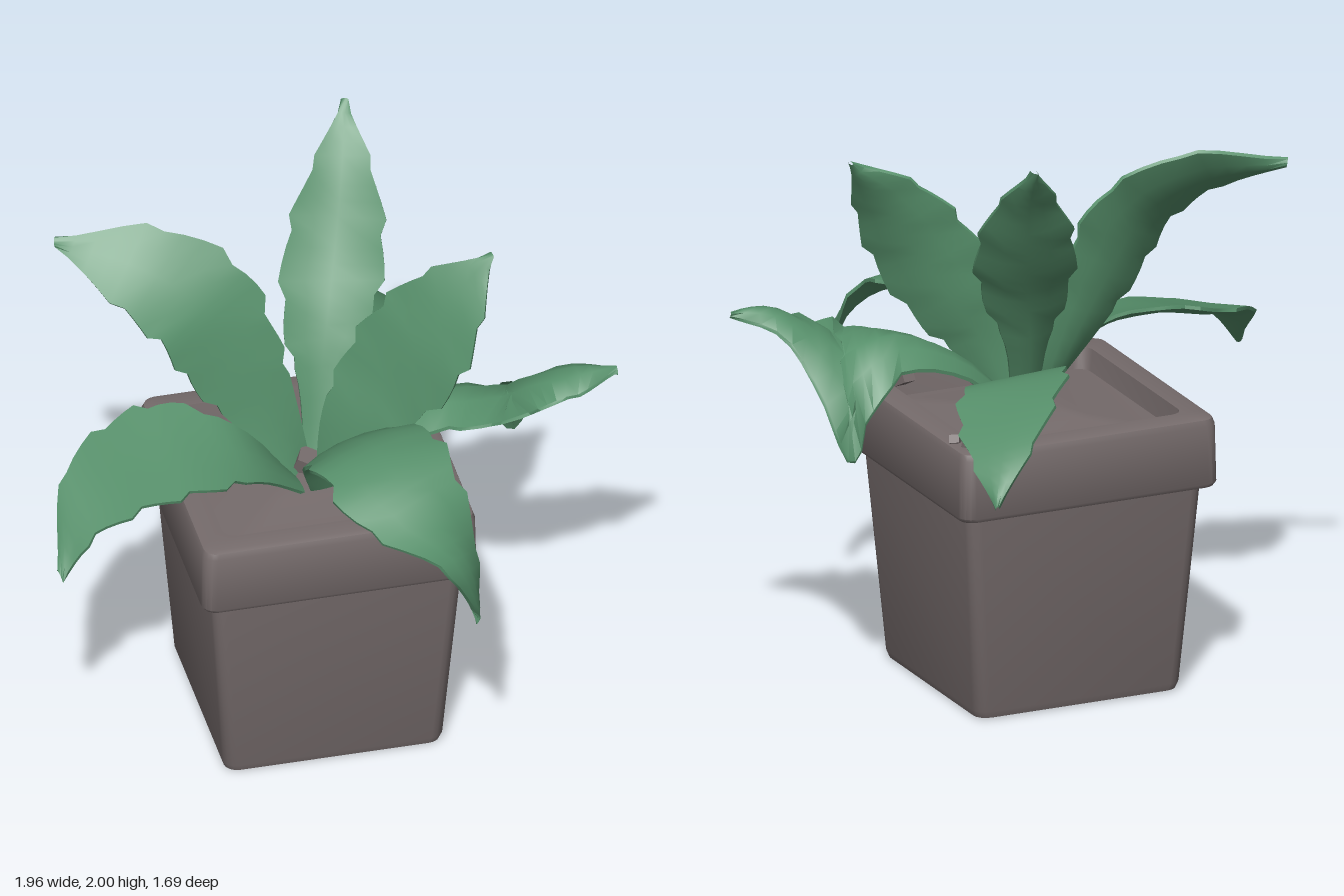
import * as THREE from 'three';
import { toCreasedNormals } from 'three/addons/utils/BufferGeometryUtils.js';

const leafGreen = new THREE.MeshStandardMaterial({ color: 0x568f6a });
leafGreen.name = 'leafGreen';
const clayGrey = new THREE.MeshStandardMaterial({ color: 0x756b6b });
clayGrey.name = 'clayGrey';

// Skin closed loops of points (each loop an array of Vector3) into a surface.
function loft(loops, crease) {
  const n = loops[0].length, pos = [], idx = [];
  loops.forEach(loop => loop.forEach(p => pos.push(p.x, p.y, p.z)));
  for (let i = 0; i < loops.length - 1; i++) {
    for (let j = 0; j < n; j++) {
      const a = i * n + j, b = i * n + (j + 1) % n;
      idx.push(a, b, a + n, b, b + n, a + n);
    }
  }
  const g = new THREE.BufferGeometry();
  g.setAttribute('position', new THREE.Float32BufferAttribute(pos, 3));
  g.setIndex(idx);
  return toCreasedNormals(g, crease);
}

// Horizontal square ring with rounded corners, running so that faces point outward.
function squareRing(half, y) {
  const r = Math.min(0.045, half), ring = [];
  for (let c = 0; c < 4; c++) {
    const mid = -(c * Math.PI / 2 + Math.PI / 4);
    const cx = Math.sign(Math.cos(mid)) * (half - r), cz = Math.sign(Math.sin(mid)) * (half - r);
    for (let k = 0; k <= 4; k++) {
      const a = mid + Math.PI / 4 - k * Math.PI / 8;
      ring.push(new THREE.Vector3(cx + r * Math.cos(a), y, cz + r * Math.sin(a)));
    }
  }
  return ring;
}

// Leaf between a left and a right edge curve, with toothed edges.
// bulge lifts (or, if negative, sinks) the midrib as a fraction of the leaf width.
function leafGeometry(left, right, bulge) {
  const curve = pts => new THREE.CatmullRomCurve3(pts.map(p => new THREE.Vector3(...p)));
  const L = curve(left), R = curve(right), steps = 24, loops = [];
  const middle = t => L.getPoint(t).lerp(R.getPoint(t), 0.5);
  for (let i = 0; i <= steps; i++) {
    const t = i / steps, c = middle(t);
    const half = R.getPoint(t).sub(L.getPoint(t)).multiplyScalar(0.5);
    const tangent = middle(Math.min(1, t + 0.02)).sub(middle(Math.max(0, t - 0.02)));
    const up = half.clone().cross(tangent).normalize();
    const tooth = t > 0.25 ? 1.05 - 0.05 * (i % 4) : 1;
    const width = half.length() * 2;
    const point = (u, side) => {
      const thick = 0.006 + 0.01 * (1 - u * u);
      const lift = bulge * width * (1 - u * u) + side * thick;
      return c.clone().addScaledVector(half, u * tooth).addScaledVector(up, lift);
    };
    const us = [-1, -0.5, 0, 0.5, 1];
    loops.push([...us.map(u => point(u, 1)), ...us.slice().reverse().map(u => point(u, -1))]);
  }
  return loft(loops, 0.8);
}

// Edge points from base to tip, left then right as seen from the base, then the bulge.
const leaves = {
  leftDroopingLeaf: [
    [[-.03, .9, .06], [-.25, 1.08, .18], [-.45, 1.14, .27], [-.65, 1.12, .28], [-.85, 1.05, .3], [-.97, .91, .33]],
    [[-.05, .9, -.03], [-.28, 1.18, -.02], [-.5, 1.24, -.13], [-.68, 1.2, -.13], [-.88, 1.13, .02], [-.98, .94, .3]],
    -0.03],
  leftTallLeaf: [
    [[-.06, .9, .03], [-.28, 1.18, -.03], [-.42, 1.35, -.04], [-.52, 1.52, -.06], [-.64, 1.64, -.14], [-.8, 1.77, -.38]],
    [[0, .9, -.05], [-.06, 1.25, -.08], [-.11, 1.48, -.12], [-.2, 1.7, -.19], [-.45, 1.84, -.3], [-.8, 1.8, -.39]],
    -0.08],
  backTallLeaf: [
    [[-.03, .9, -.04], [-.02, 1.2, -.15], [-.05, 1.4, -.25], [0, 1.63, -.4], [.12, 1.83, -.51], [.27, 2, -.63]],
    [[.05, .9, -.02], [.13, 1.2, -.14], [.25, 1.42, -.19], [.32, 1.62, -.29], [.32, 1.83, -.45], [.275, 1.99, -.63]],
    -0.14],
  backDroopingLeaf: [
    [[-.01, .9, -.05], [.04, 1.12, -.28], [.08, 1.23, -.5], [.2, 1.22, -.68], [.36, 1.1, -.81], [.51, .91, -.84]],
    [[.06, .9, -.02], [.22, 1.08, -.2], [.39, 1.15, -.34], [.49, 1.1, -.5], [.53, 1.02, -.68], [.52, .9, -.84]],
    -0.03],
  rightSpreadingLeaf: [
    [[.02, .9, -.03], [.25, 1.09, -.06], [.48, 1.14, -.08], [.62, 1.02, -.12], [.72, .88, -.16],
      [.77, 1.08, -.06], [.85, 1.28, .09], [.98, 1.33, .22]],
    [[.03, .9, .04], [.22, 1.08, .1], [.4, 1.18, .19], [.51, 1.22, .26], [.62, 1.25, .28],
      [.73, 1.28, .28], [.85, 1.31, .28], [.98, 1.34, .23]],
    0.22],
  rightTallLeaf: [
    [[0, .9, -.01], [.02, 1.2, 0], [.1, 1.42, -.01], [.2, 1.6, .01], [.35, 1.75, .06], [.57, 1.84, .14]],
    [[.05, .9, .04], [.18, 1.1, .1], [.3, 1.22, .18], [.42, 1.42, .27], [.5, 1.62, .25], [.57, 1.83, .14]],
    -0.08],
  frontDroopingLeaf: [
    [[.05, .9, .05], [.16, 1.18, .15], [.3, 1.29, .32], [.34, 1.26, .52], [.37, 1.02, .67], [.35, .78, .74]],
    [[-.03, .9, .05], [-.1, 1.12, .2], [-.1, 1.23, .4], [-.03, 1.17, .64], [.2, 1.09, .83], [.36, .8, .75]],
    0.04],
};

export function createModel() {
  const model = new THREE.Group();
  const add = (name, geometry, material, parent) => {
    const mesh = new THREE.Mesh(geometry, material);
    mesh.name = name;
    parent.add(mesh);
    return mesh;
  };

  // Tapered square pot with a thick overhanging rim, slightly turned
  const pot = new THREE.Group();
  pot.name = 'pot';
  pot.position.set(-0.015, 0, -0.05);
  pot.rotation.y = -0.03;
  model.add(pot);
  const profile = [
    [0, 0], [0.355, 0], [0.37, 0.006], [0.378, 0.03], [0.431, 0.732], [0.465, 0.738],
    [0.473, 0.752], [0.469, 0.955], [0.462, 0.975], [0.445, 0.982], [0.38, 0.982], [0.365, 0.905],
  ];
  add('potShell', loft(profile.map(([h, y]) => squareRing(h, y)), 0.7), clayGrey, pot);
  add('soil', loft([squareRing(0.368, 0.91), squareRing(0.15, 0.93), squareRing(0, 0.97)], 0.7), clayGrey, pot);

  // Chips lying on the rim and soil
  [[0.42, 1.0, -0.45, 0.03], [0.43, 0.99, -0.36, 0.028], [0.3, 0.99, 0.28, 0.04],
    [-0.02, 0.98, -0.02, 0.06], [0.12, 0.96, 0.02, 0.05]].forEach(([x, y, z, s], i) => {
    const chip = add('soilChip', new THREE.BoxGeometry(s * 1.5, s, s * 1.2), clayGrey, model);
    chip.position.set(x, y, z);
    chip.rotation.set(0.2, i * 0.9, 0.3);
  });

  // Rosette of leaves
  const foliage = new THREE.Group();
  foliage.name = 'foliage';
  model.add(foliage);
  for (const [name, [left, right, bulge]] of Object.entries(leaves)) {
    add(name, leafGeometry(left, right, bulge), leafGreen, foliage);
  }
  return model;
}
